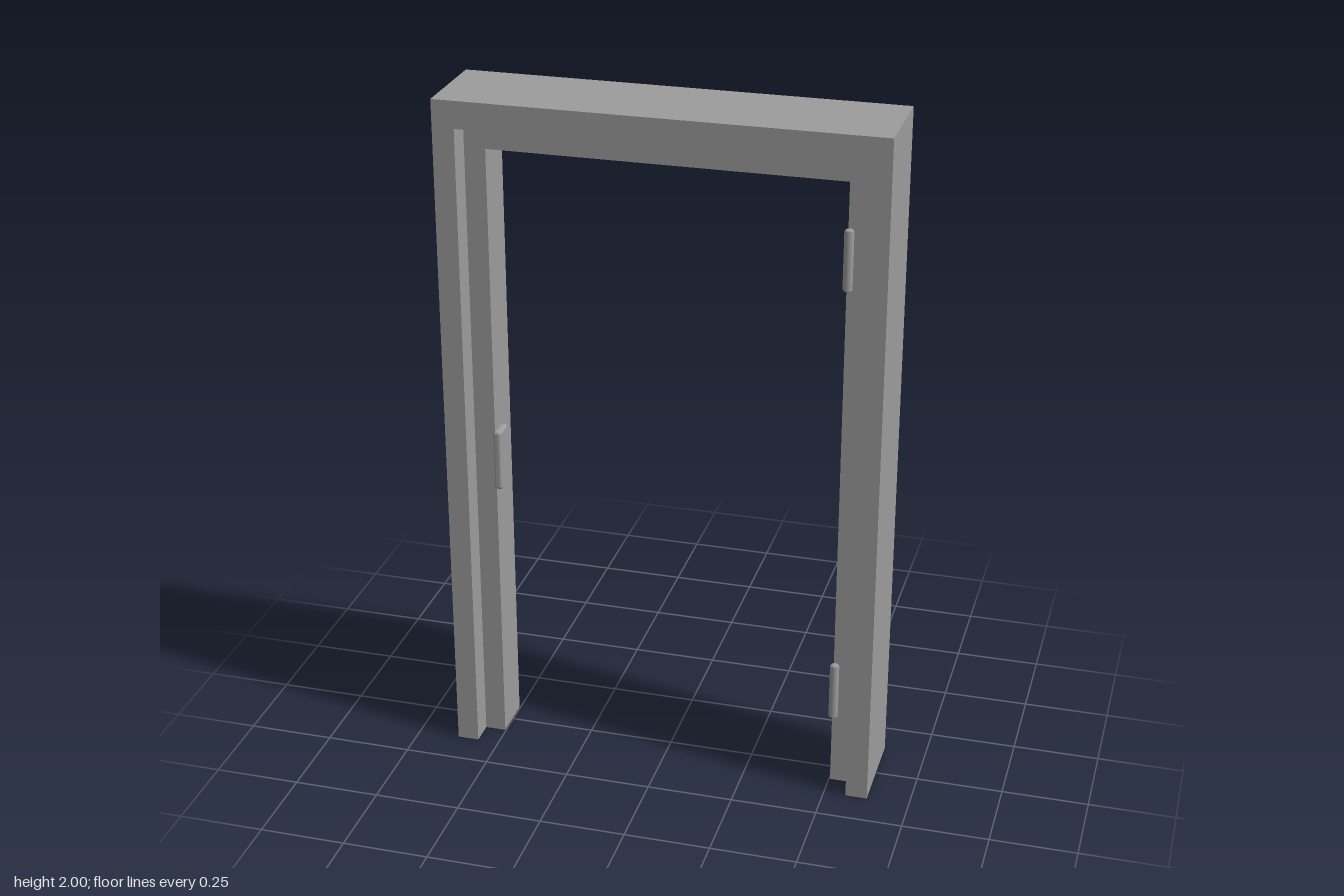
import * as THREE from 'three';
import { RoundedBoxGeometry } from 'three/addons/geometries/RoundedBoxGeometry.js';

const material = new THREE.MeshStandardMaterial({ color: 0x9c9c9c });

// Upside-down U (two posts and a head), extruded along z and centred on z = 0
function archGeometry(outerX, outerTop, innerX, innerTop, depth) {
  const shape = new THREE.Shape([
    [-outerX, 0], [-innerX, 0], [-innerX, innerTop], [innerX, innerTop],
    [innerX, 0], [outerX, 0], [outerX, outerTop], [-outerX, outerTop],
  ].map(([x, y]) => new THREE.Vector2(x, y)));
  return new THREE.ExtrudeGeometry(shape, { depth, bevelEnabled: false }).translate(0, 0, -depth / 2);
}

export function createModel() {
  const group = new THREE.Group();
  const add = (name, geometry, x = 0, y = 0, z = 0) => {
    const mesh = new THREE.Mesh(geometry, material);
    mesh.name = name;
    mesh.position.set(x, y, z);
    group.add(mesh);
  };

  // Frame with a narrower stop leaving a rabbet on both sides
  add('outerFrame', archGeometry(0.627, 2, 0.564, 1.922, 0.28));
  add('doorStop', archGeometry(0.564, 1.922, 0.503, 1.848, 0.135));

  // Hinge knuckles with bevelled ends
  const r = 0.0135, h = 0.0875, bevel = 0.005;
  const knuckle = new THREE.LatheGeometry([
    [0, -h], [r - bevel, -h], [r, -h + bevel], [r, h - bevel], [r - bevel, h], [0, h],
  ].map(([x, y]) => new THREE.Vector2(x, y)), 20);
  add('lowerHinge', knuckle, 0.508, 0.309, 0.079);
  add('upperHinge', knuckle, 0.508, 1.633, 0.079);

  // Strike plate: soft-edged pad on the inner face of the stop
  add('strikePlate', new RoundedBoxGeometry(0.026, 0.184, 0.066, 4, 0.009), -0.499, 0.909, 0.036);

  return group;
}
